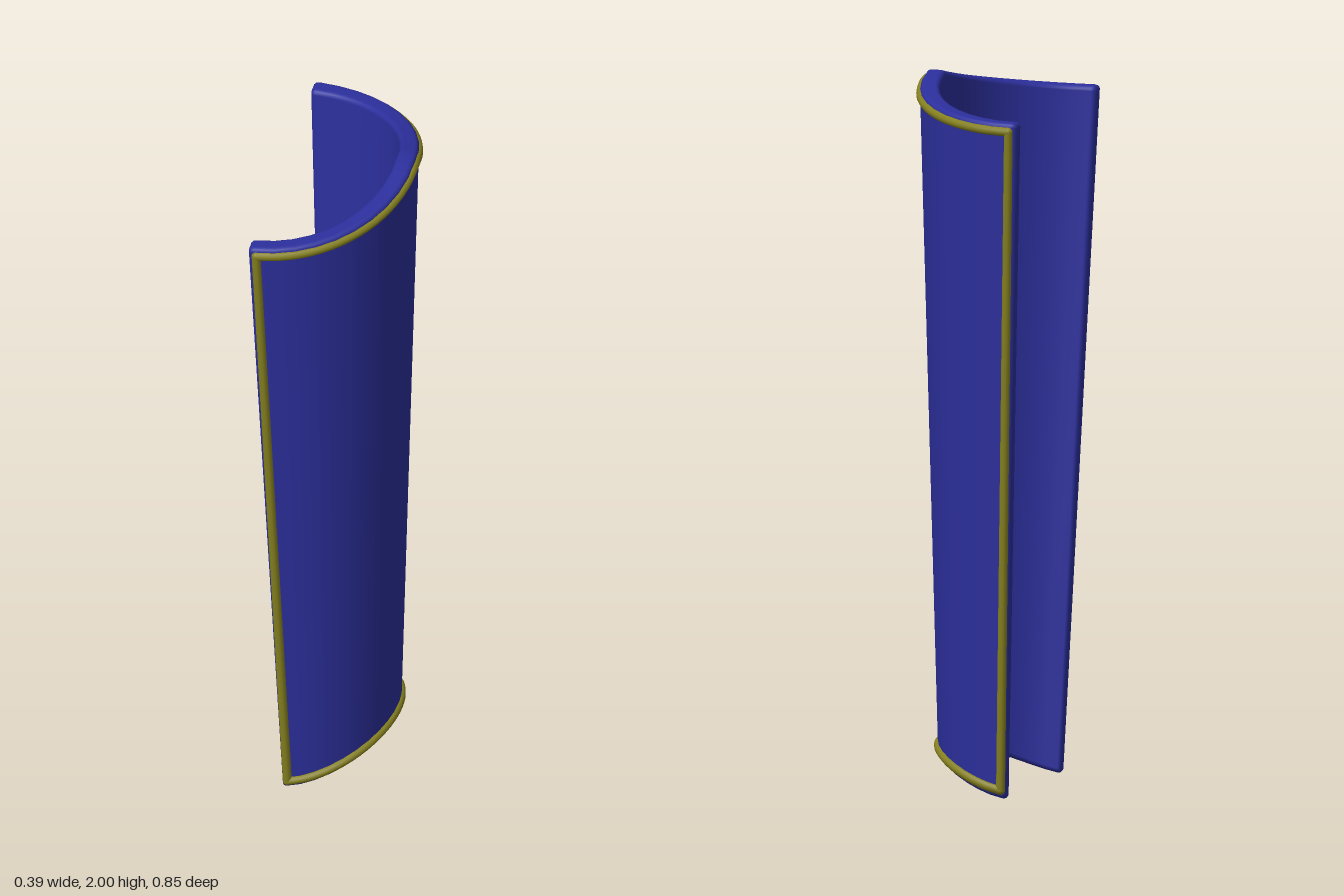
import * as THREE from 'three';

const HALF = Math.PI / 2;
const BEVEL = 0.014;

// Tapered half-oval surface: a = angle round it, y = height, inward = depth below the outer face
function surfacePoint(a, y, inward) {
  const s = y / 2;
  const cx = -0.13 - 0.072 * s;
  const rx = 0.265 + 0.122 * s - inward;
  const rz = 0.287 + 0.135 * s - inward;
  return new THREE.Vector3(cx + rx * Math.cos(a), y, rz * Math.sin(a));
}

const topEdge = (a) => 1.918 + 0.082 * (1 - Math.abs(Math.sin(a)));
const bottomEdge = (a) => 0.1 * Math.pow(Math.max(0, Math.cos(a)), 1.4);
const thickness = (y) => 0.04 + 0.0075 * y;

// Rounded wall section at one angle, pulled in by inset where the side edges round off
function wallSection(a, inset) {
  const r = Math.max(0.002, BEVEL - inset);
  const lo = bottomEdge(a) + inset + r;
  const hi = topEdge(a) - inset - r;
  const outer = -(inset + r);
  const inner = (y) => -(thickness(y) - inset - r);
  const corners = [[outer, lo], [outer, hi], [inner(hi), hi], [inner(lo), lo]];
  const points = [];
  corners.forEach(([n, y], c) => {
    for (let k = 0; k <= 4; k++) {
      const t = (c - 1 + k / 4) * HALF;
      points.push(surfacePoint(a, y + r * Math.sin(t), -(n + r * Math.cos(t))));
    }
  });
  return points;
}

function shellGeometry() {
  // Stations: rounded side edge, evenly spaced wall, rounded side edge
  const delta = BEVEL / 0.34;
  const edge = [];
  for (let k = 0; k <= 3; k++) {
    const p = (k / 3) * HALF;
    edge.push([HALF - delta * (1 - Math.cos(p)), BEVEL * (1 - Math.sin(p))]);
  }
  const stations = edge.map(([a, i]) => [-a, i]);
  const span = HALF - delta;
  for (let k = 1; k < 20; k++) stations.push([span * (k / 10 - 1), 0]);
  stations.push(...edge.reverse());

  const loops = stations.map(([a, inset]) => wallSection(a, inset));
  const n = loops[0].length;
  const index = [];
  for (let i = 0; i < loops.length - 1; i++) {
    for (let j = 0; j < n; j++) {
      const a = i * n + j, b = i * n + (j + 1) % n;
      index.push(a, b, a + n, b, b + n, a + n);
    }
  }
  // Side end faces
  const last = (loops.length - 1) * n;
  for (let j = 1; j < n - 1; j++) {
    index.push(0, j + 1, j);
    index.push(last, last + j, last + j + 1);
  }
  const geometry = new THREE.BufferGeometry().setFromPoints(loops.flat());
  geometry.setIndex(index);
  geometry.computeVertexNormals();
  return geometry;
}

export function createModel() {
  const group = new THREE.Group();
  const blue = new THREE.MeshStandardMaterial({ color: 0x2c2f9c });
  const olive = new THREE.MeshStandardMaterial({ color: 0x85801f });

  const add = (parent, name, geometry, material) => {
    const mesh = new THREE.Mesh(geometry, material);
    mesh.name = name;
    parent.add(mesh);
    return mesh;
  };

  add(group, 'curvedShell', shellGeometry(), blue);

  // Raised piping just inside the border of the outer face
  const trim = new THREE.Group();
  trim.name = 'trim';
  group.add(trim);
  const radius = 0.013;
  const limit = HALF - 0.06;
  const low = (a) => surfacePoint(a, bottomEdge(a) + 0.024, 0.002);
  const high = (a) => surfacePoint(a, topEdge(a) - 0.024, 0.002);
  const pipe = (name, points) => add(trim, name,
    new THREE.TubeGeometry(new THREE.CatmullRomCurve3(points), 40, radius, 10), olive);

  for (const [name, edge] of [['bottomTrim', low], ['topTrim', high]]) {
    const points = [];
    for (let k = 0; k <= 20; k++) points.push(edge(limit * (k / 10 - 1)));
    pipe(name, points);
  }
  for (const [side, a] of [['front', limit], ['back', -limit]]) {
    pipe(side + 'SideTrim', [low(a), high(a)]);
    for (const corner of [low(a), high(a)]) {
      add(trim, side + 'TrimCorner', new THREE.SphereGeometry(radius, 12, 8), olive)
        .position.copy(corner);
    }
  }
  return group;
}
